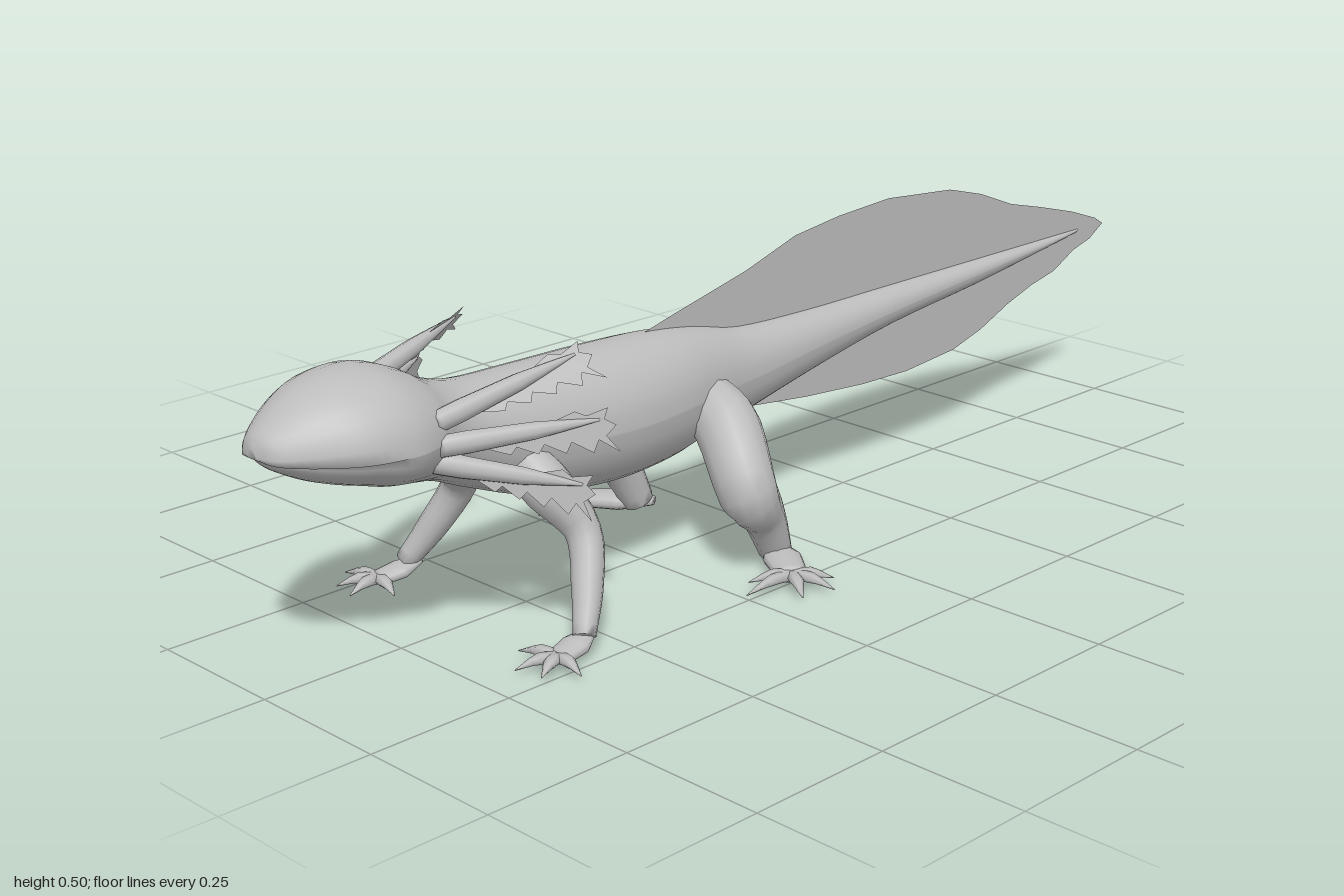
import * as THREE from 'three';

const skin = new THREE.MeshStandardMaterial({ color: 0xbcbcbc });
skin.name = 'skin grey';
const finSkin = new THREE.MeshStandardMaterial({ color: 0xbcbcbc, side: THREE.DoubleSide });
finSkin.name = 'fin grey';

const V = (p) => new THREE.Vector3(...p);

// Smooth closed-ring surface; rings are lists of equal length, capped at both ends
function loft(rings) {
  const n = rings[0].length, pos = [], idx = [];
  rings.forEach((r) => r.forEach((p) => pos.push(p.x, p.y, p.z)));
  for (let i = 0; i < rings.length - 1; i++) {
    for (let j = 0; j < n; j++) {
      const a = i * n + j, b = i * n + (j + 1) % n;
      idx.push(a, a + n, b, b, a + n, b + n);
    }
  }
  const last = (rings.length - 1) * n;
  for (let j = 1; j < n - 1; j++) idx.push(0, j, j + 1, last, last + j + 1, last + j);
  const g = new THREE.BufferGeometry();
  g.setAttribute('position', new THREE.Float32BufferAttribute(pos, 3));
  g.setIndex(idx);
  g.computeVertexNormals();
  return g;
}

// Tapering limb through points; radii are spread along it, flat squashes its second axis
function limb(points, radii, { ref = [0, 1, 0], flat = 1, steps = 14, sides = 12 } = {}) {
  const curve = new THREE.CatmullRomCurve3(points.map(V));
  const rings = [];
  for (let i = 0; i <= steps; i++) {
    const t = i / steps, f = t * (radii.length - 1);
    const k = Math.min(Math.floor(f), radii.length - 2);
    const r = THREE.MathUtils.lerp(radii[k], radii[k + 1], f - k);
    const c = curve.getPoint(t), T = curve.getTangent(t);
    const N = V(ref).cross(T).normalize(), B = N.clone().cross(T);
    rings.push(Array.from({ length: sides }, (_, j) => {
      const a = (j / sides) * Math.PI * 2;
      return c.clone().addScaledVector(N, r * Math.cos(a)).addScaledVector(B, r * flat * Math.sin(a));
    }));
  }
  return loft(rings);
}

// Head, trunk and tail core: z, half width, top, widest height, bottom
const BODY = [
  [0.995, 0.01, 0.385, 0.37, 0.362], [0.98, 0.045, 0.408, 0.364, 0.345],
  [0.93, 0.088, 0.442, 0.36, 0.318], [0.87, 0.122, 0.464, 0.358, 0.298],
  [0.80, 0.134, 0.467, 0.358, 0.284], [0.74, 0.118, 0.446, 0.358, 0.272],
  [0.69, 0.092, 0.418, 0.35, 0.258], [0.62, 0.086, 0.400, 0.32, 0.228],
  [0.50, 0.100, 0.396, 0.29, 0.185], [0.35, 0.108, 0.393, 0.28, 0.166],
  [0.22, 0.095, 0.388, 0.28, 0.170], [0.12, 0.073, 0.374, 0.28, 0.188],
  [0.02, 0.058, 0.352, 0.28, 0.205], [-0.15, 0.047, 0.345, 0.295, 0.24],
  [-0.35, 0.036, 0.345, 0.31, 0.275], [-0.60, 0.024, 0.345, 0.325, 0.30],
  [-0.80, 0.012, 0.345, 0.335, 0.325], [-0.92, 0.002, 0.345, 0.342, 0.34],
];

function bodyGeometry() {
  const track = (k) => new THREE.CatmullRomCurve3(BODY.map((b, i) => new THREE.Vector3(i, b[k], 0)));
  const tracks = [0, 1, 2, 3, 4].map(track);
  const rings = [], steps = 68, half = 16;
  for (let i = 0; i <= steps; i++) {
    const [z, w, top, mid, bot] = tracks.map((c) => c.getPoint(i / steps).y);
    // The lower jaw sits just inside the upper lip
    const jaw = THREE.MathUtils.smoothstep(z, 0.8, 0.87);
    rings.push(Array.from({ length: half * 2 }, (_, j) => {
      const upper = j <= half;
      const a = upper ? (j / half) * Math.PI : Math.PI * (1 + (j - half - 0.9) / (half - 1.8));
      const s = Math.sin(a);
      return new THREE.Vector3(
        w * Math.cos(a) * (upper ? 1 : 1 - 0.06 * jaw),
        mid + s * (upper ? top - mid : mid - bot) + (upper ? 0 : 0.002 * jaw),
        z - (upper ? 0 : 0.012 * jaw));
    }));
  }
  return loft(rings);
}

// Tail fin outline as z, y
const FIN = [
  [0.25, 0.385], [0.17, 0.405], [0, 0.445], [-0.12, 0.483], [-0.23, 0.497], [-0.36, 0.505], [-0.53, 0.491],
  [-0.62, 0.467], [-0.71, 0.432], [-0.8, 0.41], [-0.9, 0.383], [-0.975, 0.357], [-1, 0.342],
  [-0.96, 0.318], [-0.91, 0.305], [-0.85, 0.275], [-0.78, 0.26], [-0.71, 0.238], [-0.63, 0.205], [-0.55, 0.183],
  [-0.42, 0.172], [-0.3, 0.175], [-0.15, 0.187], [0, 0.205], [0.1, 0.25],
];

function finGeometry() {
  const g = new THREE.ShapeGeometry(new THREE.Shape(FIN.map(([z, y]) => new THREE.Vector2(-z, y))));
  return g.rotateY(Math.PI / 2);
}

// Jagged leaf hanging from a gill stalk
function frillGeometry(from, to, hang) {
  const X = V(to).sub(V(from)), len = X.length();
  X.normalize();
  const Y = V(hang).addScaledVector(X, -V(hang).dot(X)).normalize();
  const pts = [[0.2, 0]], teeth = 5;
  for (let k = 0; k < teeth; k++) {
    const u = 0.3 + 0.17 * k, w = 0.03 + 0.006 * k;
    pts.push([u, w * 0.55], [u + 0.13, w]);
  }
  pts.push([1.03, 0.026], [1.1, 0.012], [1.03, 0], [1.06, -0.016], [0.92, -0.009], [0.85, -0.018], [0.7, -0.008]);
  const g = new THREE.ShapeGeometry(new THREE.Shape(pts.map(([u, w]) => new THREE.Vector2(u * len, w))));
  const m = new THREE.Matrix4().makeBasis(X, Y, X.clone().cross(Y)).setPosition(V(from));
  return g.applyMatrix4(m);
}

// Left-side parts; x is mirrored for the right
const GILLS = [
  { from: [0.10, 0.385, 0.75], to: [0.14, 0.445, 0.51], hang: [0.6, -0.8, 0] },
  { from: [0.11, 0.352, 0.75], to: [0.215, 0.365, 0.53], hang: [0.2, -1, 0] },
  { from: [0.10, 0.325, 0.75], to: [0.23, 0.28, 0.58], hang: [0, -1, 0.2] },
];
const LEGS = [
  {
    name: 'front',
    leg: [[0.05, 0.275, 0.55], [0.1, 0.235, 0.54], [0.147, 0.165, 0.508], [0.185, 0.09, 0.535], [0.215, 0.03, 0.57]],
    radii: [0.035, 0.042, 0.029, 0.025, 0.018],
    foot: [[0.205, 0.03, 0.55], [0.212, 0.02, 0.585], [0.218, 0.014, 0.625]], footRadii: [0.012, 0.026, 0.022],
    toes: [[0.285, 0.64], [0.248, 0.685], [0.2, 0.695], [0.15, 0.645]],
  },
  {
    name: 'hind',
    leg: [[0.03, 0.27, 0.14], [0.1, 0.235, 0.15], [0.178, 0.145, 0.178], [0.172, 0.09, 0.135], [0.165, 0.02, 0.1]],
    radii: [0.045, 0.056, 0.05, 0.036, 0.028],
    foot: [[0.145, 0.018, 0.08], [0.195, 0.017, 0.115], [0.25, 0.014, 0.15]], footRadii: [0.014, 0.033, 0.027],
    toes: [[0.3, 0.105], [0.333, 0.14], [0.32, 0.2], [0.25, 0.255], [0.215, 0.215]],
  },
];

export function createModel() {
  const model = new THREE.Group();
  model.name = 'salamander';
  const add = (parent, name, geometry, material = skin) => {
    const mesh = new THREE.Mesh(geometry, material);
    mesh.name = name;
    parent.add(mesh);
  };
  add(model, 'body', bodyGeometry());
  add(model, 'tailFin', finGeometry(), finSkin);

  for (const [side, s] of [['left', 1], ['right', -1]]) {
    const flip = ([x, y, z]) => [x * s, y, z];

    const gills = new THREE.Group();
    gills.name = side + 'Gills';
    model.add(gills);
    for (const { from, to, hang } of GILLS) {
      add(gills, 'gillStalk', limb([from, to].map(flip), [0.017, 0.018, 0.014, 0.002], { sides: 8, steps: 9 }));
      add(gills, 'gillFrill', frillGeometry(flip(from), flip(to), flip(hang)), finSkin);
    }

    for (const { name, leg, radii, foot, footRadii, toes } of LEGS) {
      const group = new THREE.Group();
      group.name = `${side} ${name} leg`;
      model.add(group);
      add(group, 'leg', limb(leg.map(flip), radii, { ref: [0, 0, 1], steps: 18 }));
      add(group, 'foot', limb(foot.map(flip), footRadii, { flat: 0.5 }));
      // Toes fan out from the front of the foot
      const [px, py, pz] = foot[2];
      for (const [x, z] of toes) {
        const mid = [px + (x - px) * 0.45, 0.019, pz + (z - pz) * 0.45];
        add(group, 'toe', limb([[px, py, pz], mid, [x, 0.01, z]].map(flip), [0.013, 0.012, 0.001],
          { flat: 0.7, sides: 6, steps: 6 }));
      }
    }
  }
  return model;
}
